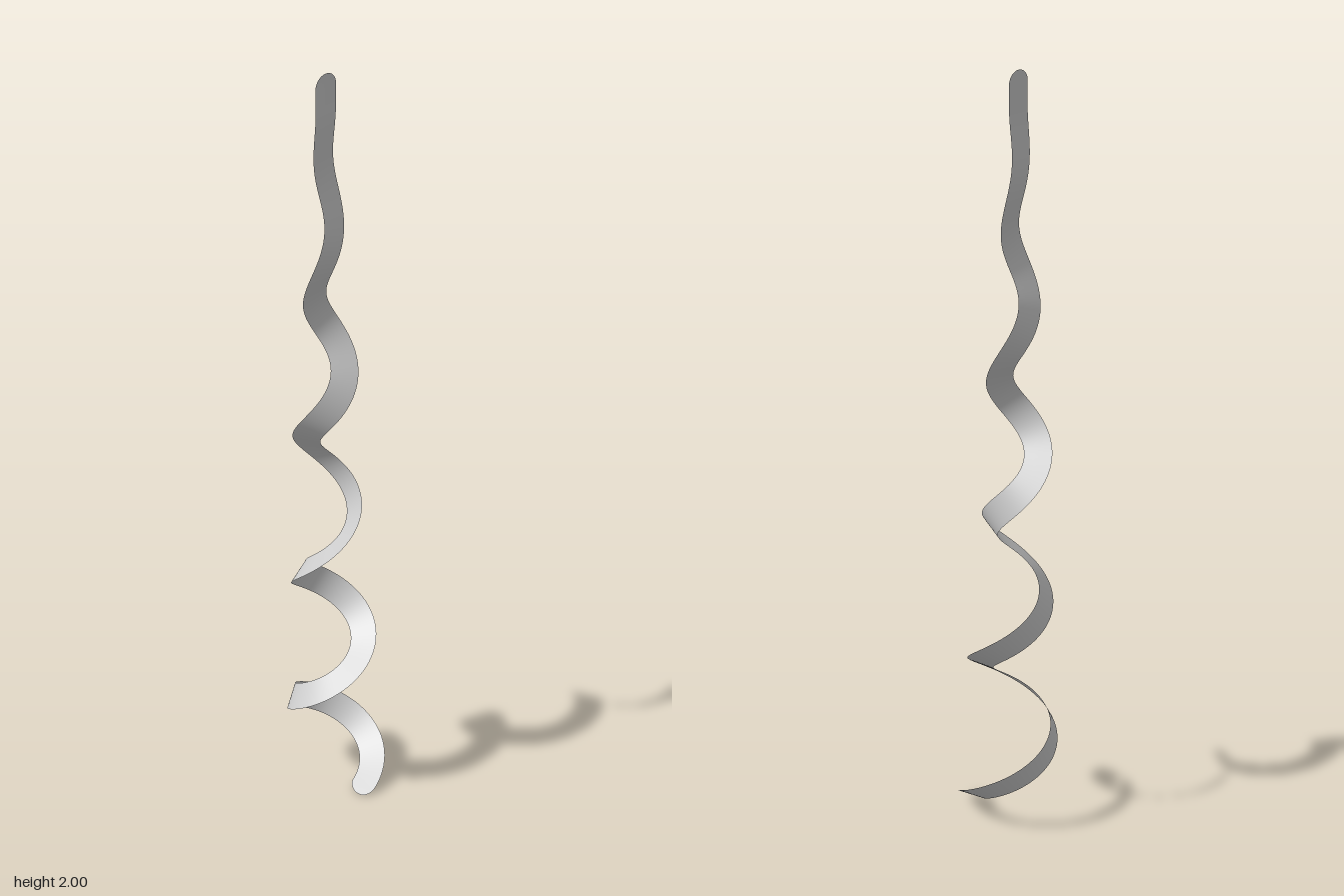
import * as THREE from 'three';

const PITCH = 0.393, Y0 = 0.018;     // rise per turn, height at turn 0
const T0 = -0.046, T1 = 5.043;       // first and last turn
const HALF = 0.036;                  // half width of the ribbon

// Centre line: a rising spiral that narrows to nothing at the top
function centre(t) {
  const y = Y0 + PITCH * t;
  const r = 0.118 * Math.max(0, 1 - y / 1.92);
  const a = t * 2 * Math.PI;
  return new THREE.Vector3(-0.021 - 0.004 * y + r * Math.cos(a), y, 0.002 - r * Math.sin(a));
}

// Roll of the ribbon about its centre line, in turns
const roll = new THREE.CubicInterpolant(
  [T0, 0, 1, 2, 3, 4, T1],
  [-1.731, -1.753, -2.257, -2.843, -3.615, -4.517, -5.557], 1);

// Direction across the ribbon
function across(t) {
  const tangent = centre(t + 1e-3).sub(centre(t - 1e-3)).normalize();
  const a = t * 2 * Math.PI;
  const inward = new THREE.Vector3(-Math.cos(a), 0, Math.sin(a));
  inward.addScaledVector(tangent, -inward.dot(tangent)).normalize();
  const along = new THREE.Vector3().crossVectors(inward, tangent);
  const b = roll.evaluate(t)[0] * 2 * Math.PI;
  return along.multiplyScalar(Math.cos(b)).addScaledVector(inward, Math.sin(b));
}

// Rounded ends: width grows along a quarter circle
function roundEnd(distance, length) {
  const k = 1 - Math.min(1, distance / length);
  return Math.max(0.02, Math.sqrt(1 - k * k));
}

function ribbonGeometry(steps) {
  const pos = [], index = [];
  for (let i = 0; i <= steps; i++) {
    // samples gather towards both ends
    const t = T0 + (T1 - T0) * (0.5 - 0.5 * Math.cos(Math.PI * i / steps));
    const w = HALF * roundEnd(t - T0, 0.04) * roundEnd(T1 - t, 0.08);
    const c = centre(t), d = across(t);
    for (const s of [-1, 0, 1]) {
      const p = c.clone().addScaledVector(d, s * w);
      pos.push(p.x, THREE.MathUtils.clamp(p.y, 0, 2), p.z);
    }
    if (i === steps) break;
    for (let j = 0; j < 2; j++) {
      const k = i * 3 + j;
      index.push(k, k + 1, k + 3, k + 1, k + 4, k + 3);
    }
  }
  const g = new THREE.BufferGeometry();
  g.setAttribute('position', new THREE.Float32BufferAttribute(pos, 3));
  g.setIndex(index);
  g.computeVertexNormals();
  return g;
}

export function createModel() {
  const group = new THREE.Group();
  group.name = 'spiralStreamer';
  const ribbon = new THREE.Mesh(
    ribbonGeometry(500),
    new THREE.MeshStandardMaterial({ color: 0xcccccc, side: THREE.DoubleSide }));
  ribbon.name = 'ribbon';
  group.add(ribbon);
  return group;
}
